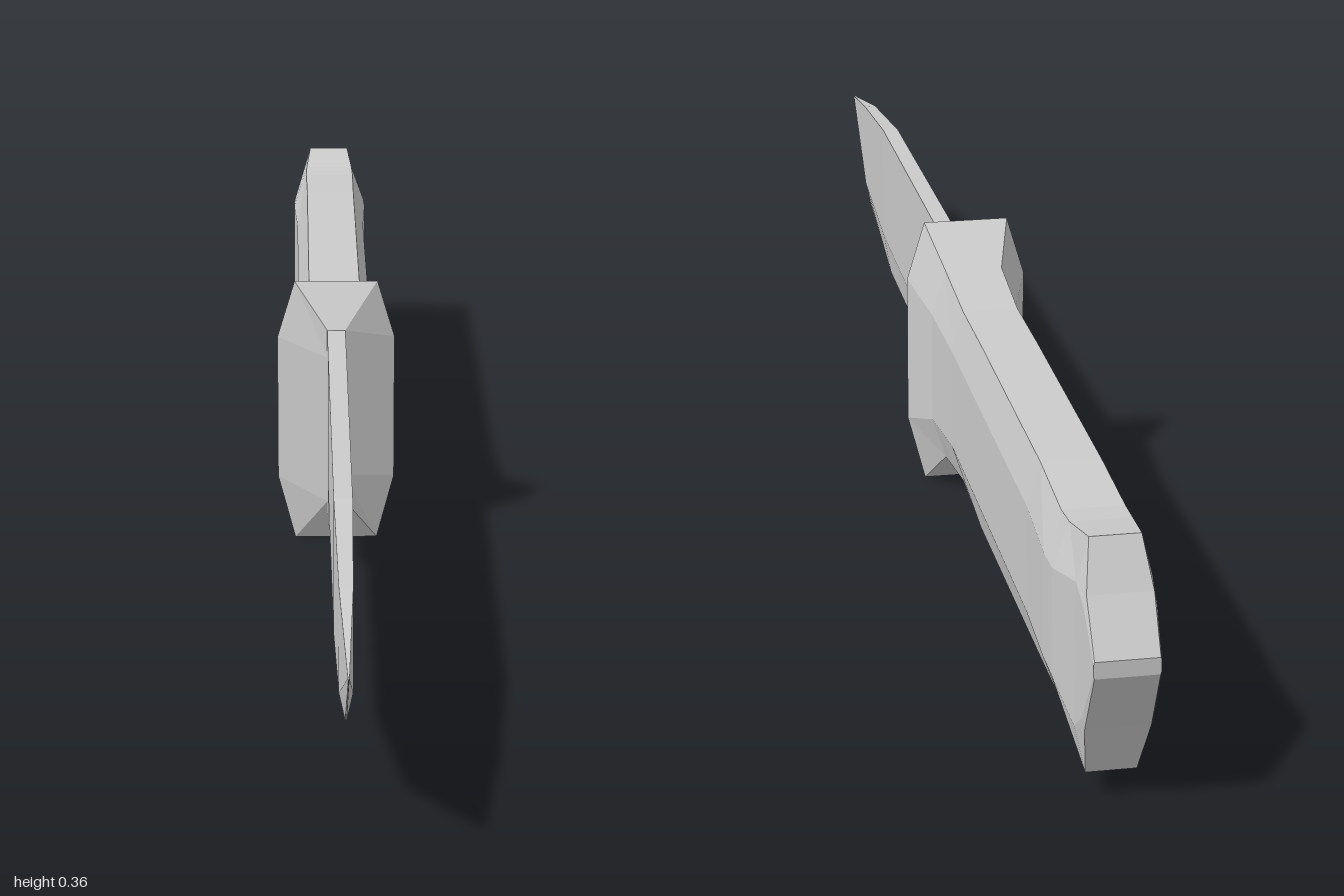
import * as THREE from 'three';

const material = new THREE.MeshStandardMaterial({ color: 0xcccccc, flatShading: true });

// Skins rings of [x, y, z] points; each ring runs counter-clockwise seen from the first one.
function loft(name, rings, { startCap = true, endCap = true, skip = () => false } = {}) {
  const n = rings[0].length;
  const index = [];
  for (let r = 0; r < rings.length - 1; r++) {
    for (let i = 0; i < n; i++) {
      if (skip(r, i)) continue;
      const a = r * n + i, b = r * n + (i + 1) % n;
      index.push(a, a + n, b, b, a + n, b + n);
    }
  }
  const last = (rings.length - 1) * n;
  for (let i = 1; i < n - 1; i++) {
    if (startCap) index.push(0, i, i + 1);
    if (endCap) index.push(last, last + i + 1, last + i);
  }
  const indexed = new THREE.BufferGeometry();
  indexed.setAttribute('position', new THREE.Float32BufferAttribute(rings.flat(2), 3));
  indexed.setIndex(index);
  const geometry = indexed.toNonIndexed();
  geometry.computeVertexNormals();
  const mesh = new THREE.Mesh(geometry, material);
  mesh.name = name;
  return mesh;
}

// Chamfered section, with each side split in three to leave room for the recess.
function gripRing([z, top, bottom, sideTop, sideBottom, flatW, sideW]) {
  const lo = THREE.MathUtils.lerp(sideBottom, sideTop, 0.12);
  const hi = THREE.MathUtils.lerp(sideBottom, sideTop, 0.77);
  return [
    [sideW, sideBottom, z], [sideW, lo, z], [sideW, hi, z], [sideW, sideTop, z],
    [flatW, top, z], [-flatW, top, z],
    [-sideW, sideTop, z], [-sideW, hi, z], [-sideW, lo, z], [-sideW, sideBottom, z],
    [-flatW, bottom, z], [flatW, bottom, z],
  ];
}

// Flat spine and sides above a bevel that runs down to the edge.
function bladeRing([z, top, bevel, bottom, w, edgeW]) {
  return [
    [edgeW, bottom, z], [w, bevel, z], [w, top, z],
    [-w, top, z], [-w, bevel, z], [-edgeW, bottom, z],
  ];
}

export function createModel() {
  const model = new THREE.Group();
  model.name = 'knife';

  // Blade: z, top, bevel line, bottom, half thickness, half edge thickness
  model.add(loft('blade', [
    [1.0, 0.232, 0.23, 0.228, 0.001, 0.0005],
    [0.83, 0.265, 0.14, 0.107, 0.008, 0.001],
    [0.62, 0.29, 0.122, 0.064, 0.011, 0.001],
    [0.11, 0.3, 0.118, 0.062, 0.012, 0.001],
    [0.1, 0.3, 0.118, 0.062, 0.012, 0.012],
    [0.0, 0.303, 0.118, 0.062, 0.012, 0.012],
  ].map(bladeRing)));

  // Guard: z, top, bottom, side top, side bottom, half flat width, half width
  const guardBack = [-0.08, 0.315, 0.053, 0.255, 0.108, 0.037, 0.055];
  model.add(loft('guard', [
    [0.01, 0.303, 0.062, 0.265, 0.1, 0.012, 0.012],
    [-0.02, 0.362, 0, 0.285, 0.088, 0.055, 0.078],
    guardBack,
  ].map(gripRing), { endCap: false }));

  // Handle with a window left open on one side
  const handleRings = [
    guardBack,
    [-0.2, 0.302, 0.07, 0.25, 0.12, 0.035, 0.05],
    [-0.33, 0.304, 0.06, 0.25, 0.12, 0.035, 0.05],
    [-0.7, 0.304, 0.065, 0.25, 0.12, 0.035, 0.05],
    [-0.82, 0.298, 0.07, 0.248, 0.122, 0.036, 0.055],
    [-0.86, 0.301, 0.064, 0.248, 0.12, 0.035, 0.054],
    [-0.93, 0.314, 0.032, 0.262, 0.09, 0.029, 0.042],
    [-0.96, 0.259, 0.1, 0.245, 0.115, 0.037, 0.04],
    [-1.0, 0.2, 0.18, 0.197, 0.183, 0.036, 0.037],
  ].map(gripRing);
  model.add(loft('handle', handleRings, {
    startCap: false,
    skip: (ring, side) => ring === 0 && side === 7,
  }));

  // Recess sunk into that window
  const [front, back] = handleRings;
  const opening = [back[8], back[7], front[7], front[8]];
  const floor = opening.map(([, y, z]) => [-0.025, y, z]);
  model.add(loft('recess', [opening, floor], { startCap: false }));

  return model;
}
